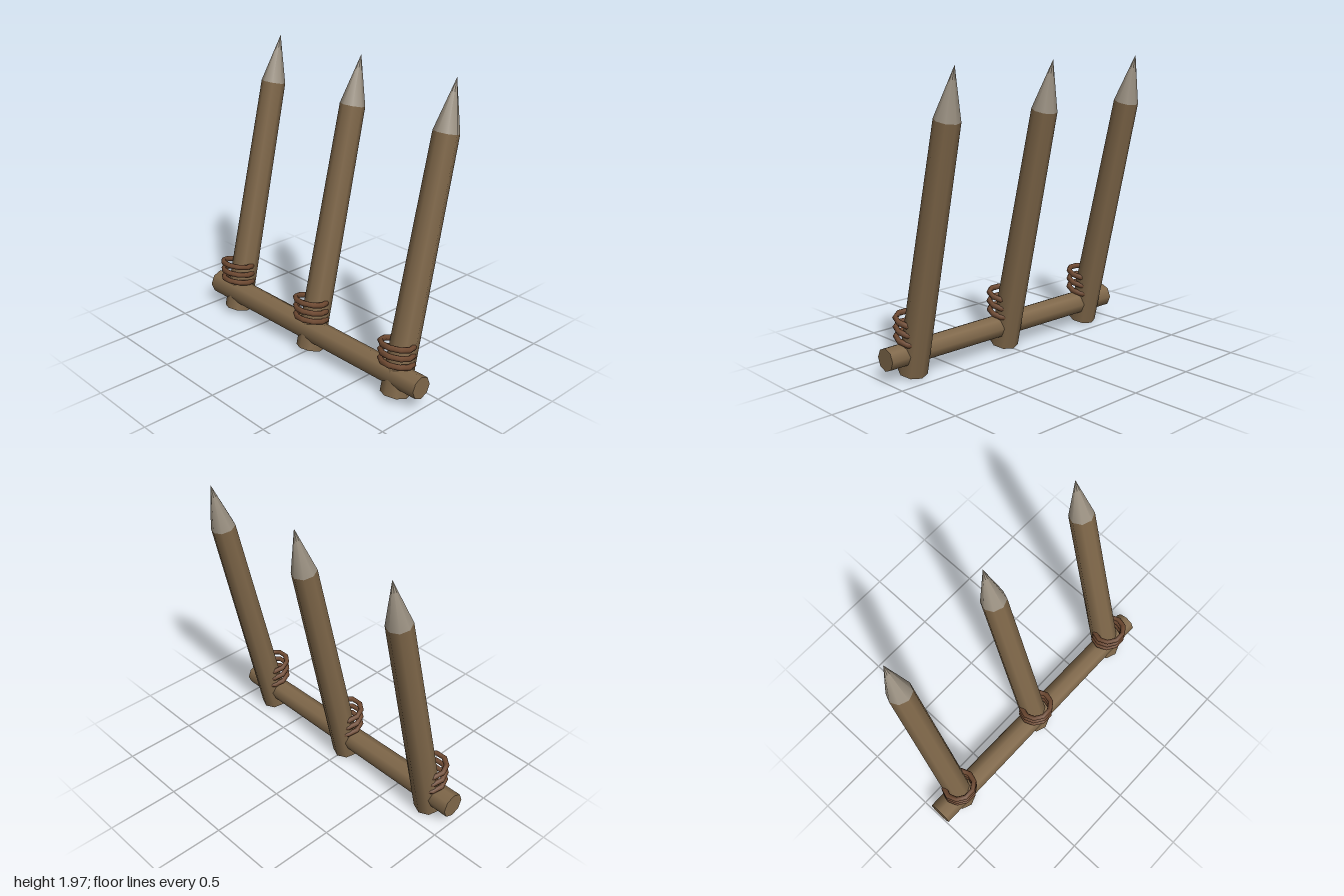
import * as THREE from 'three';

export function createModel() {
  const wood = new THREE.MeshStandardMaterial({ color: 0x80684a });
  wood.name = 'wood';
  const point = new THREE.MeshStandardMaterial({ color: 0x9c9283 });
  point.name = 'pale grey point';
  const rope = new THREE.MeshStandardMaterial({ color: 0x6f4a32 });
  rope.name = 'brown rope';

  const LEAN = 0.23, POST = 1.671, TIP = 0.327;
  const model = new THREE.Group();
  model.name = 'spikeBarrier';

  const add = (parent, name, geometry, material) => {
    const mesh = new THREE.Mesh(geometry, material);
    mesh.name = name;
    parent.add(mesh);
    return mesh;
  };

  // Crossbar, slightly thicker at its right end
  const bar = add(model, 'crossbar', new THREE.CylinderGeometry(0.085, 0.076, 2, 8), wood);
  bar.rotation.z = Math.PI / 2;
  bar.position.set(0, 0.154, 0.165);

  const postGeometry = new THREE.CylinderGeometry(0.083, 0.096, POST, 8).translate(0, POST / 2, 0);
  const tipGeometry = new THREE.ConeGeometry(0.083, TIP, 8).translate(0, POST + TIP / 2, 0);
  const ringGeometry = new THREE.TorusGeometry(0.106, 0.019, 6, 10);

  for (const x of [-0.788, 0, 0.788]) {
    // Stake leaning backward
    const stake = new THREE.Group();
    stake.name = 'stake';
    stake.position.set(x, 0.022, 0.17);
    stake.rotation.x = -LEAN;
    add(stake, 'post', postGeometry, wood);
    add(stake, 'pointedTip', tipGeometry, point);
    model.add(stake);

    // Rope lashing stacked above the crossbar
    const lashing = new THREE.Group();
    lashing.name = 'lashing';
    for (let i = 0; i < 3; i++) {
      const ring = add(lashing, 'ropeRing', ringGeometry, rope);
      ring.position.set(x, 0.25 + i * 0.061, 0.162);
      ring.rotation.x = Math.PI / 2 - LEAN;
    }
    model.add(lashing);
  }
  return model;
}
